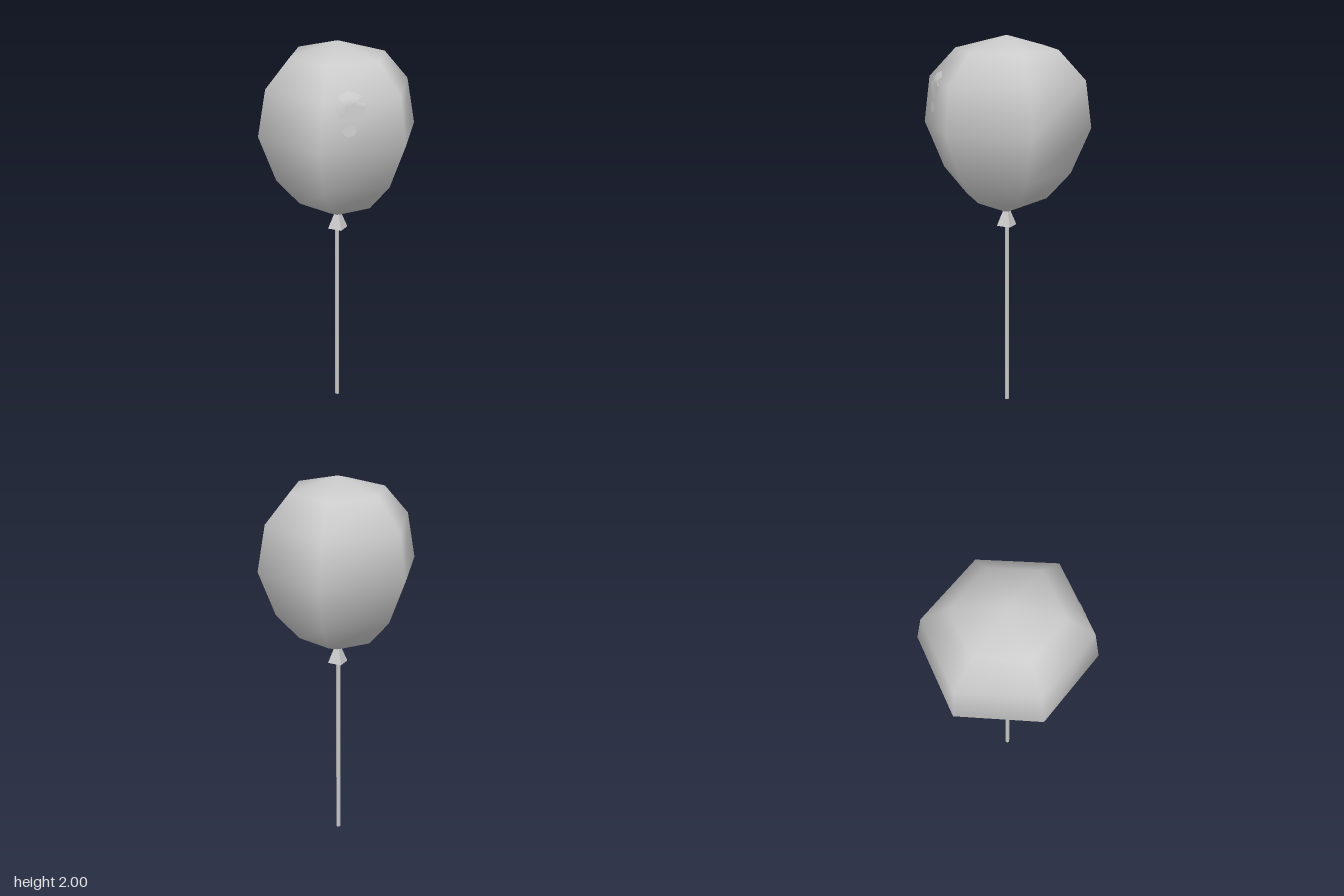
import * as THREE from 'three';

const material = new THREE.MeshStandardMaterial({ color: 0xcccccc });
const flat = new THREE.MeshStandardMaterial({ color: 0xcccccc, flatShading: true });
const decal = new THREE.MeshStandardMaterial({ color: 0xcccccc, side: THREE.DoubleSide });

// Hexagonal rings of the balloon: height, side corner x, front face z
const RINGS = [
  [1.16, 0.21, 0.186],
  [1.30, 0.333, 0.292],
  [1.54, 0.423, 0.382],
  [1.78, 0.38, 0.357],
  [1.93, 0.252, 0.234],
];

function add(group, name, geometry, mat) {
  const mesh = new THREE.Mesh(geometry, mat);
  mesh.name = name;
  group.add(mesh);
  return mesh;
}

// Six-sided skin with shared vertices, closed by a bottom and a top point
function balloonGeometry() {
  const points = [0, 1.07, 0];
  for (const [y, x, z] of RINGS) {
    const m = x * 0.525;
    points.push(x, y, 0, m, y, z, -m, y, z, -x, y, 0, -m, y, -z, m, y, -z);
  }
  points.push(0, 2, 0);
  const top = points.length / 3 - 1;
  const index = [];
  for (let i = 0; i < 6; i++) {
    const j = (i + 1) % 6;
    index.push(0, 1 + i, 1 + j);
    for (let r = 0; r < RINGS.length - 1; r++) {
      const a = 1 + r * 6 + i, b = 1 + r * 6 + j;
      index.push(a, a + 6, b, b, a + 6, b + 6);
    }
    index.push(top - 6 + i, top, top - 6 + j);
  }
  const g = new THREE.BufferGeometry();
  g.setAttribute('position', new THREE.Float32BufferAttribute(points, 3));
  g.setIndex(index);
  g.computeVertexNormals();
  return g;
}

// Depth of the front panel at a given height
function frontZ(y) {
  let i = 0;
  while (i < RINGS.length - 2 && y > RINGS[i + 1][0]) i++;
  const [y0, , z0] = RINGS[i], [y1, , z1] = RINGS[i + 1];
  return z0 + (z1 - z0) * (y - y0) / (y1 - y0);
}

// Thin patch hugging the front panel
function glintGeometry(x, y, rx, ry) {
  const g = new THREE.RingGeometry(0.001, 1, 8, 4);
  const p = g.attributes.position;
  for (let i = 0; i < p.count; i++) {
    const py = y + p.getY(i) * ry;
    p.setXYZ(i, x + p.getX(i) * rx, py, frontZ(py) + 0.003);
  }
  g.computeVertexNormals();
  return g;
}

export function createModel() {
  const model = new THREE.Group();
  model.name = 'balloonOnStick';

  add(model, 'balloon', balloonGeometry(), material);
  add(model, 'largeGlint', glintGeometry(-0.06, 1.755, 0.078, 0.07), decal);
  add(model, 'smallGlint', glintGeometry(-0.07, 1.64, 0.036, 0.03), decal);

  // Flared four-sided knot below the balloon
  const knot = add(model, 'knot', new THREE.CylinderGeometry(0.018, 0.054, 0.085, 4), flat);
  knot.position.y = 1.0425;

  // Stick
  const stick = add(model, 'stick', new THREE.CylinderGeometry(0.012, 0.012, 1.04, 6), material);
  stick.position.set(-0.003, 0.52, -0.003);

  return model;
}
